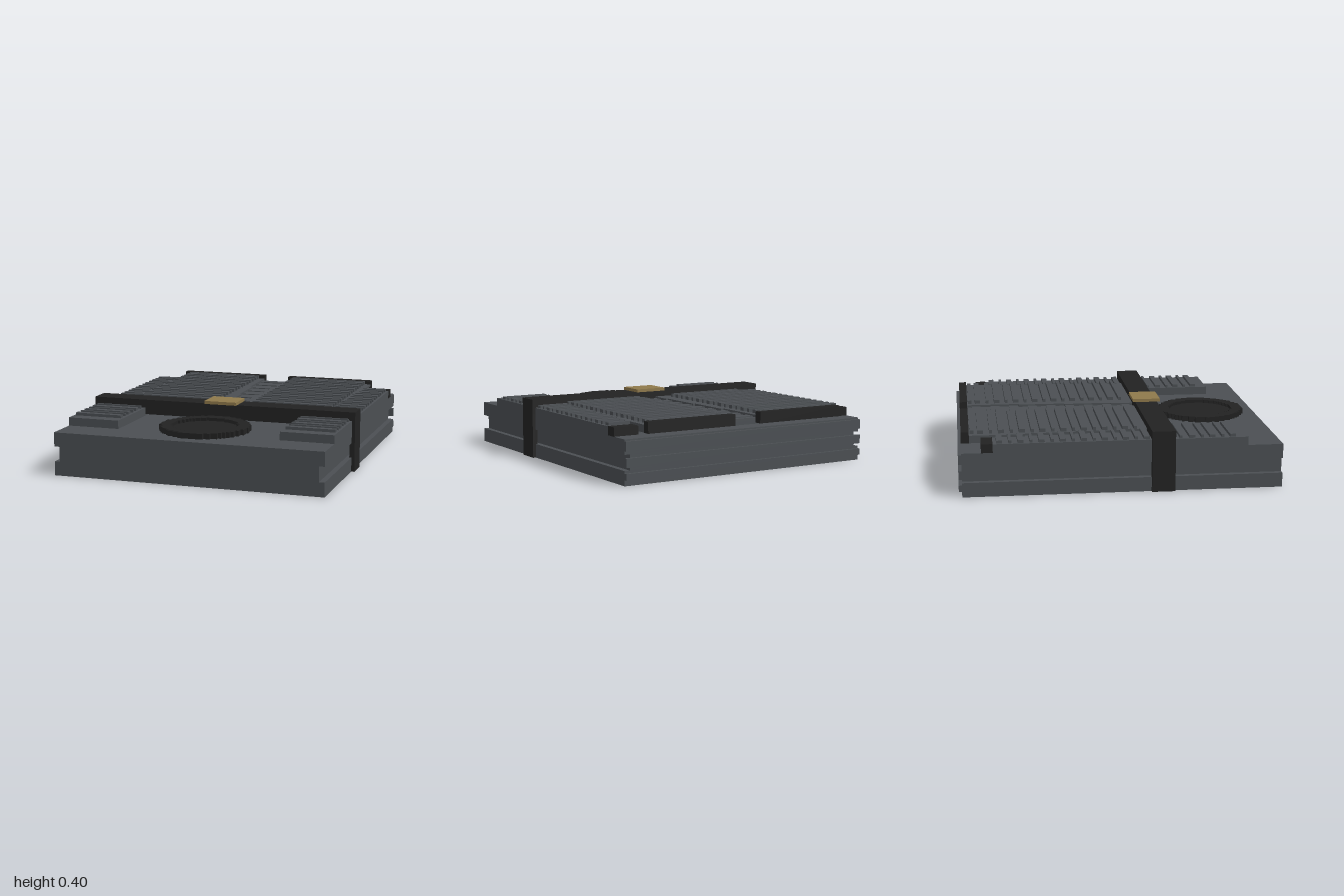
import * as THREE from 'three';

const grey = new THREE.MeshStandardMaterial({ color: 0x4b4f53 });
grey.name = 'slate grey';
const black = new THREE.MeshStandardMaterial({ color: 0x222222 });
black.name = 'strap black';
const brass = new THREE.MeshStandardMaterial({ color: 0x8f794b });
brass.name = 'buckle brass';

// Box given by its limits on each axis
function block(parent, name, mat, [x0, x1], [y0, y1], [z0, z1]) {
  const mesh = new THREE.Mesh(new THREE.BoxGeometry(x1 - x0, y1 - y0, z1 - z0), mat);
  mesh.position.set((x0 + x1) / 2, (y0 + y1) / 2, (z0 + z1) / 2);
  mesh.name = name;
  parent.add(mesh);
}

// The same box on the left and the right
function pair(parent, name, mat, [x0, x1], y, z) {
  block(parent, name + 'Left', mat, [x0, x1], y, z);
  block(parent, name + 'Right', mat, [-x1, -x0], y, z);
}

function subgroup(parent, name) {
  const g = new THREE.Group();
  g.name = name;
  parent.add(g);
  return g;
}

// Circle outline made of square stair steps
function steppedCircle(radius, step) {
  const rows = Math.round(radius / step);
  const side = [];
  for (let i = -rows; i < rows; i++) {
    const mid = (i + 0.5) * step;
    const w = Math.max(step, Math.round(Math.sqrt(Math.max(0, radius * radius - mid * mid)) / step) * step);
    side.push(new THREE.Vector2(w, i * step), new THREE.Vector2(w, (i + 1) * step));
  }
  const other = side.map((p) => new THREE.Vector2(-p.x, p.y)).reverse();
  return side.concat(other);
}

function flatExtrude(parent, name, shape, y, height, z) {
  const geo = new THREE.ExtrudeGeometry(shape, { depth: height, bevelEnabled: false });
  geo.rotateX(-Math.PI / 2);
  const mesh = new THREE.Mesh(geo, black);
  mesh.position.set(0, y, z);
  mesh.name = name;
  parent.add(mesh);
}

export function createModel() {
  const model = new THREE.Group();
  model.name = 'strappedCase';

  // Case with a groove along each side and ridges across the back
  const body = subgroup(model, 'body');
  block(body, 'lowerBody', grey, [-0.87, 0.87], [0, 0.09], [-0.98, 1]);
  block(body, 'grooveBody', grey, [-0.835, 0.835], [0.09, 0.185], [-0.98, 1]);
  block(body, 'upperBody', grey, [-0.87, 0.87], [0.185, 0.275], [-0.98, 1]);
  for (const y of [[0.035, 0.075], [0.11, 0.165], [0.205, 0.265]]) {
    block(body, 'backRidge', grey, [-0.87, 0.87], y, [-1, -0.98]);
  }

  // Low deck behind the strap, with an overhanging tail
  const deck = subgroup(model, 'rearDeck');
  block(deck, 'deckBase', grey, [-0.87, 0.87], [0.275, 0.328], [-0.79, 0.2]);
  block(deck, 'deckTail', grey, [-0.7, 0.7], [0.293, 0.328], [-0.93, -0.79]);
  block(deck, 'deckFoot', grey, [-0.6, 0.6], [0.275, 0.293], [-0.86, -0.79]);

  // Raised banks that step outward towards the strap, leaving a narrowing channel
  const banks = subgroup(model, 'ribbedBanks');
  const steps = [
    { inner: 0.09, z: [-0.93, -0.585] },
    { inner: 0.07, z: [-0.585, -0.28] },
    { inner: 0.055, z: [-0.28, 0.035] },
    { inner: 0.04, z: [0.035, 0.2] },
  ];
  for (const { inner, z } of steps) {
    pair(banks, 'bank', grey, [inner, inner + 0.62], [0.328, 0.343], z);
  }
  pair(banks, 'bankRib', grey, [0.13, 0.67], [0.343, 0.365], [-0.925, -0.9]);
  for (let i = 0; i < 16; i++) {
    const z = -0.86 + i * 0.0643;
    const half = i % 2 ? 0.009 : 0.018;
    pair(banks, 'bankRib', grey, [0.13, 0.67], [0.343, 0.365], [z - half, z + half]);
  }

  // Short outer ribs beside the banks
  const outer = subgroup(model, 'outerRibs');
  for (let i = 0; i < 15; i++) {
    const z = -0.75 + i * 0.0643;
    const half = i % 2 ? 0.009 : 0.018;
    const inner = steps.find((s) => z < s.z[1]).inner + 0.61;
    pair(outer, 'outerRib', grey, [inner, 0.857], [0.328, 0.346], [z - half, z + half]);
  }

  // Fine cross steps on the channel floor
  const channel = subgroup(model, 'centreChannel');
  for (let i = 0; i < 9; i++) {
    const z = -0.9 + i * 0.125;
    const { inner } = steps.find((s) => z < s.z[1]);
    block(channel, 'channelStep', grey, [-inner, inner], [0.328, 0.334], [z, z + 0.06]);
  }

  // Black bumpers along the back
  pair(model, 'backBumper', black, [0.092, 0.71], [0.295, 0.365], [-0.98, -0.93]);
  pair(model, 'cornerBumper', black, [0.705, 0.872], [0.275, 0.33], [-0.86, -0.79]);

  // Ribbed front wings
  const wings = subgroup(model, 'frontWings');
  pair(wings, 'wing', grey, [0.53, 0.87], [0.275, 0.328], [0.2, 0.78]);
  [0.362, 0.432, 0.495, 0.558, 0.622, 0.685].forEach((z, i) => {
    const half = i % 2 ? 0.018 : 0.008;
    pair(wings, 'wingRib', grey, [0.545, 0.857], [0.328, 0.346], [z - half, z + half]);
  });

  // Round dial: raised stepped rim around a sunken plate
  const dial = subgroup(model, 'dial');
  const rim = new THREE.Shape(steppedCircle(0.28, 0.02));
  rim.holes.push(new THREE.Path(steppedCircle(0.208, 0.016).reverse()));
  flatExtrude(dial, 'dialRim', rim, 0.275, 0.035, 0.635);
  flatExtrude(dial, 'dialPlate', new THREE.Shape(steppedCircle(0.22, 0.02)), 0.275, 0.015, 0.635);
  block(dial, 'dialTabsAcross', black, [0.27, 0.288], [0.275, 0.308], [0.62, 0.65]);
  block(dial, 'dialTabsAcross', black, [-0.288, -0.27], [0.275, 0.308], [0.62, 0.65]);

  // Strap over the top and down both sides, with a buckle plate
  const strap = subgroup(model, 'strap');
  block(strap, 'strapTop', black, [-0.89, 0.89], [0.285, 0.382], [0.18, 0.325]);
  pair(strap, 'strapSide', black, [0.856, 0.89], [0, 0.3], [0.18, 0.325]);
  block(strap, 'buckle', brass, [-0.108, 0.108], [0.382, 0.402], [0.165, 0.345]);

  return model;
}
